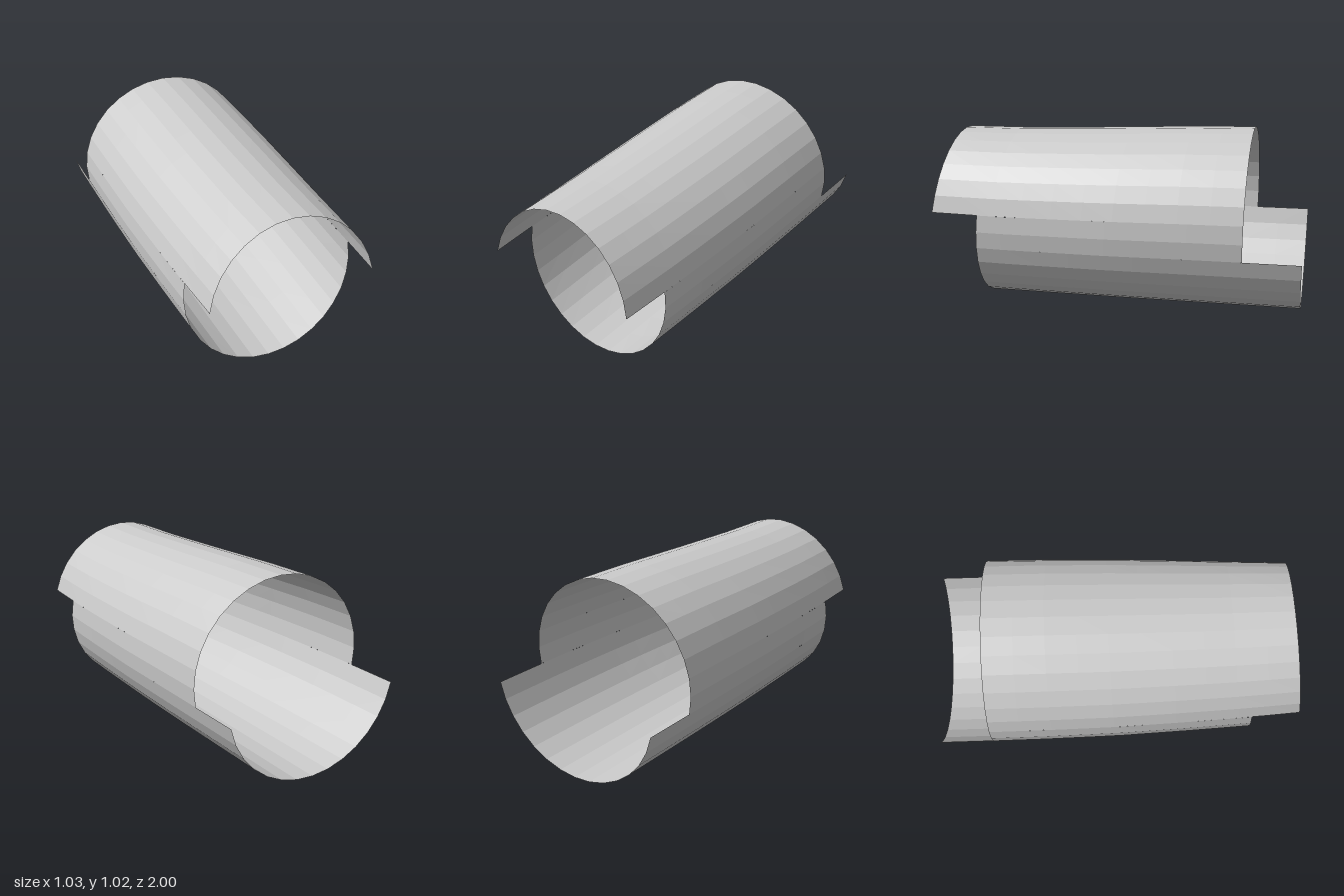
import * as THREE from 'three';

const SIDES = 32;
const ROWS = 10;
const STEP = (Math.PI * 2) / SIDES;

// Piecewise-linear profile through [z, value] pairs
function profile(points) {
  return (z) => {
    let i = 0;
    while (i < points.length - 2 && z > points[i + 1][0]) i++;
    const [z0, v0] = points[i];
    const [z1, v1] = points[i + 1];
    return v0 + ((v1 - v0) * (z - z0)) / (z1 - z0);
  };
}

// Half width, crown and belly height along the tube
const halfWidth = profile([[-1, 0.512], [-0.7, 0.513], [-0.4, 0.512], [0, 0.505], [0.4, 0.488], [0.735, 0.471], [1, 0.454]]);
const crown = profile([[-1, 1.025], [-0.7, 1.02], [-0.4, 1.01], [0.1, 0.983], [0.6, 0.96], [1, 0.953]]);
const belly = profile([[-1, 0.042], [0.77, 0.003], [1, -0.002]]);

function sectionPoint(angle, z) {
  const mid = (crown(z) + belly(z)) / 2;
  const ry = (crown(z) - belly(z)) / 2;
  return [halfWidth(z) * Math.cos(angle), mid + ry * Math.sin(angle), z];
}

// Slightly raked front edges: the upper half reaches further forward
const upperFront = (a) => 1.0 - 0.057 * (Math.sin(a) - 0.195);
const lowerFront = (a) => 0.735 - 0.029 * (Math.sin(a) - 0.195);

// Shell strip covering the facets first..last of the ring
function shellPanel(name, first, last, front, back, material) {
  const positions = [];
  const indices = [];
  for (let j = first; j <= last; j++) {
    const angle = j * STEP;
    for (let i = 0; i <= ROWS; i++) {
      positions.push(...sectionPoint(angle, THREE.MathUtils.lerp(back, front(angle), i / ROWS)));
    }
  }
  const stride = ROWS + 1;
  for (let j = 0; j < last - first; j++) {
    for (let i = 0; i < ROWS; i++) {
      const a = j * stride + i;
      const b = a + stride;
      indices.push(a, b + 1, b, a, a + 1, b + 1);
    }
  }
  const geometry = new THREE.BufferGeometry();
  geometry.setAttribute('position', new THREE.Float32BufferAttribute(positions, 3));
  geometry.setIndex(indices);
  geometry.computeVertexNormals();
  const mesh = new THREE.Mesh(geometry, material);
  mesh.name = name;
  return mesh;
}

export function createModel() {
  const group = new THREE.Group();
  group.name = 'tubeShell';
  const material = new THREE.MeshStandardMaterial({ color: 0xcccccc, flatShading: true, side: THREE.DoubleSide });

  // Upper shell, stepped forward
  group.add(shellPanel('upperShell', 1, 15, upperFront, -0.7, material));
  // Side bands between the two steps
  group.add(shellPanel('leftSideBand', -1, 1, lowerFront, -0.7, material));
  group.add(shellPanel('rightSideBand', 15, 17, lowerFront, -0.7, material));
  // Lower shell, stepped backward
  group.add(shellPanel('lowerShell', 17, 31, lowerFront, -1, material));
  return group;
}
